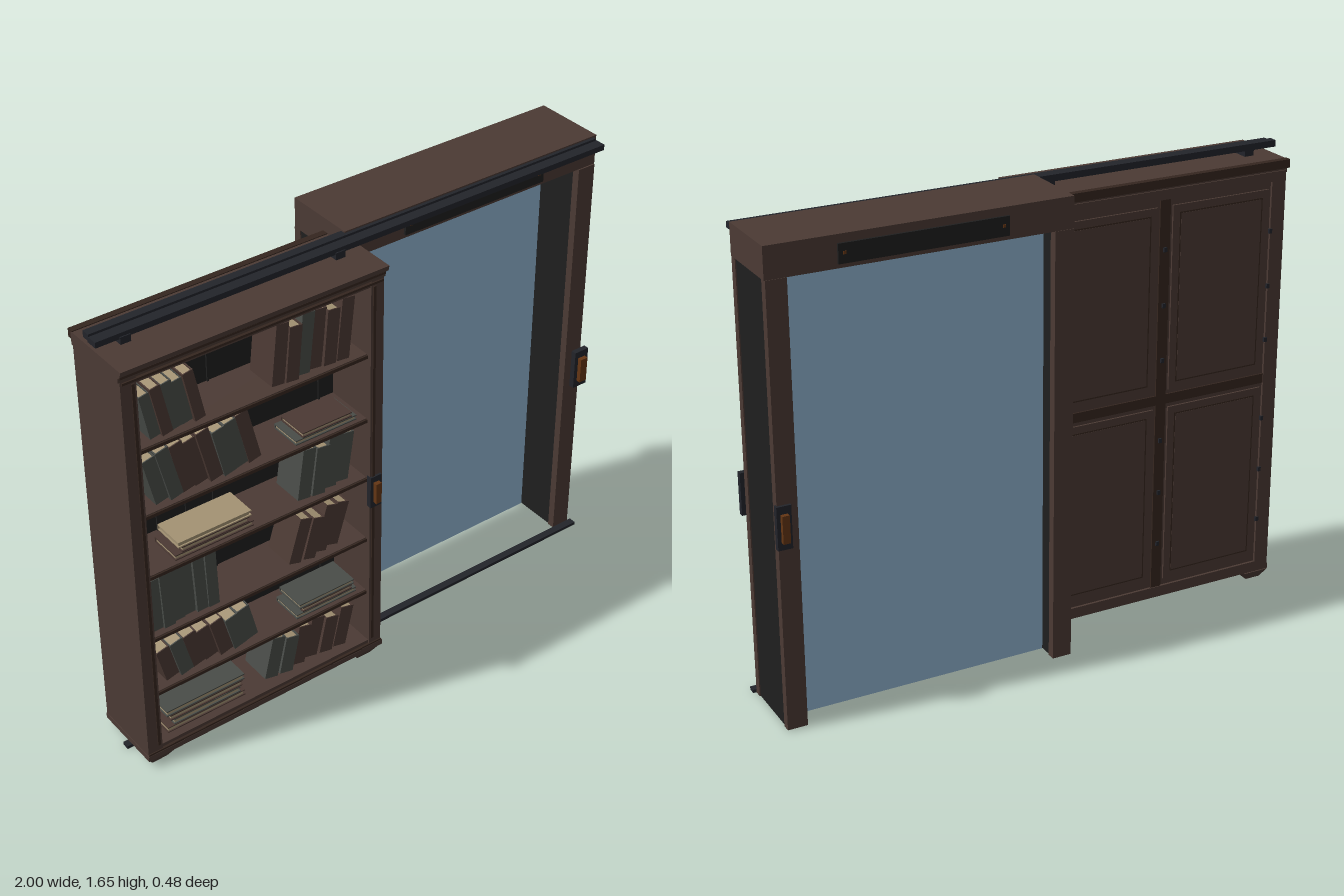
import * as THREE from 'three';

const material = (name, color) => {
  const m = new THREE.MeshStandardMaterial({ color });
  m.name = name;
  return m;
};
const wood = material('brown wood', 0x4b3a34);
const darkWood = material('dark wood trim', 0x35261f);
const black = material('black panel', 0x1f1f1f);
const metal = material('dark metal', 0x22242a);
const copper = material('copper', 0x643614);
const glass = material('blue glass', 0x90b4d0);
const grey = material('grey book cover', 0x494c48);
const brown = material('brown book cover', 0x4b3933);
const paper = material('paper', 0xa39273);
const covers = { g: grey, b: brown, p: paper };

// Box given by its limits on each axis
function box(parent, name, mat, x0, x1, y0, y1, z0, z1) {
  const mesh = new THREE.Mesh(new THREE.BoxGeometry(x1 - x0, y1 - y0, z1 - z0), mat);
  mesh.position.set((x0 + x1) / 2, (y0 + y1) / 2, (z0 + z1) / 2);
  mesh.name = name;
  parent.add(mesh);
}

function part(parent, name) {
  const g = new THREE.Group();
  g.name = name;
  parent.add(g);
  return g;
}

// Profile of [z, y] points swept along x
function sweep(parent, name, mat, points, x0, x1) {
  const shape = new THREE.Shape(points.map(p => new THREE.Vector2(...p)));
  const geo = new THREE.ExtrudeGeometry(shape, { depth: x1 - x0, bevelEnabled: false });
  geo.rotateY(-Math.PI / 2).translate(x1, 0, 0);
  const mesh = new THREE.Mesh(geo, mat);
  mesh.name = name;
  parent.add(mesh);
}

// Book standing on y = 0 with its spine towards +z
function book(parent, w, h, d, cover) {
  const g = part(parent, 'book');
  const t = 0.004;
  box(g, 'cover', cover, 0, t, 0, h, -d, 0);
  box(g, 'cover', cover, w - t, w, 0, h, -d, 0);
  box(g, 'spine', cover, t, w - t, 0, h, -t, 0);
  box(g, 'pages', paper, t, w - t, 0.004, h - 0.006, -d + 0.005, -t);
  return g;
}

// Leaning row: a letter sets each cover, positive lean tips the tops to -x
function bookRow(parent, x0, x1, y, height, leanDegrees, letters) {
  const lean = THREE.MathUtils.degToRad(leanDegrees);
  const step = (x1 - x0) / letters.length;
  [...letters].forEach((c, i) => {
    const w = step * Math.cos(lean) * 0.97;
    const h = height * (0.94 + 0.06 * Math.sin(i * 2.3 + x0 * 9));
    const b = book(parent, w, h, 0.12, covers[c]);
    const tilt = lean + 0.012 * Math.sin(i * 1.9);
    b.position.set(x0 + i * step, y + Math.max(0, -w * Math.sin(tilt)), 0.17 + 0.008 * Math.sin(i * 1.7));
    b.rotation.z = tilt;
  });
}

// Flat pile with the page edges towards the front
function bookPile(parent, x0, x1, y, thick, letters) {
  [...letters].forEach((c, i) => {
    const inset = 0.022 * ((i * 2) % 3);
    const pivot = part(parent, 'flat book');
    const b = book(pivot, thick * 0.95, x1 - x0 - inset, 0.12, covers[c]);
    b.rotation.z = Math.PI / 2;
    pivot.rotation.y = Math.PI;
    pivot.position.set(x0 + inset * 0.6, y + i * thick, 0.06);
  });
}

// Pull with a copper grip; dir is the way it faces in z
function handle(parent, name, x, z, dir, w, h) {
  const g = part(parent, name);
  box(g, 'plate', metal, -w / 2, w / 2, -h / 2, h / 2, 0, 0.02);
  box(g, 'grip', copper, -w / 4, w / 4, -h * 0.32, h * 0.32, 0.02, 0.036);
  g.position.set(x, 0.73, z);
  if (dir < 0) g.rotation.y = Math.PI;
}

function buildBookcase(root) {
  const g = part(root, 'bookcase');
  const L = -0.99, R = -0.03, back = -0.045, front = 0.215;

  // Carcass
  box(g, 'leftSide', wood, L, -0.935, 0.035, 1.56, back, front);
  box(g, 'rightSide', wood, -0.08, R, 0.035, 1.56, back, front);
  box(g, 'innerBack', black, -0.935, -0.08, 0.07, 1.53, 0.0, 0.012);
  box(g, 'top', wood, -0.935, -0.08, 1.525, 1.56, back, 0.21);
  box(g, 'base', wood, -0.935, -0.08, 0.035, 0.075, back, 0.21);
  box(g, 'plinth', wood, -0.993, -0.025, 0.035, 0.055, -0.045, 0.22);
  box(g, 'plinthBead', darkWood, L, R, 0.055, 0.062, 0.21, 0.219);
  for (const x of [-0.78, -0.67, -0.565, -0.14]) {
    box(g, 'backBatten', black, x - 0.003, x + 0.003, 0.075, 1.5, 0.012, 0.018);
    box(g, 'battenTip', paper, x - 0.002, x + 0.002, 1.5, 1.525, 0.012, 0.018);
  }

  // Shelves
  for (const y of [0.295, 0.525, 0.78, 1.02, 1.27]) {
    box(g, 'shelf', wood, -0.935, -0.08, y - 0.017, y, 0.012, 0.195);
    box(g, 'shelfEdge', darkWood, -0.935, -0.08, y - 0.015, y - 0.003, 0.195, 0.2);
  }

  // Front beading
  for (const x of [-0.948, -0.068])
    box(g, 'stileBead', darkWood, x - 0.005, x + 0.005, 0.085, 1.53, 0.21, 0.219);
  box(g, 'topBead', darkWood, -0.985, -0.035, 1.538, 1.546, 0.21, 0.22);

  // Cornice
  sweep(g, 'cornice', wood, [[-0.04, 1.55], [0.215, 1.55], [0.218, 1.568], [0.23, 1.578],
    [0.235, 1.597], [-0.04, 1.597]], -0.997, -0.025);
  box(g, 'corniceBead', darkWood, -0.993, -0.03, 1.564, 1.572, 0.2, 0.223);
  box(g, 'rearLedge', darkWood, -0.997, -0.03, 1.57, 1.6, -0.055, -0.032);

  // Panelled back
  box(g, 'backBoard', wood, -0.935, -0.08, 0.075, 1.525, -0.036, 0);
  box(g, 'backMidStile', darkWood, -0.53, -0.49, 0.075, 1.525, -0.042, -0.036);
  box(g, 'backMidRail', darkWood, -0.935, -0.08, 0.785, 0.82, -0.042, -0.036);
  for (const [x0, x1] of [[-0.925, -0.54], [-0.48, -0.09]])
    for (const [y0, y1] of [[0.1, 0.77], [0.835, 1.5]]) {
      box(g, 'backPanel', wood, x0, x1, y0, y1, -0.043, -0.036);
      box(g, 'panelGroove', darkWood, x0 + 0.026, x1 - 0.026, y0 + 0.026, y1 - 0.026, -0.0438, -0.043);
      box(g, 'panelField', wood, x0 + 0.031, x1 - 0.031, y0 + 0.031, y1 - 0.031, -0.0446, -0.043);
    }
  for (const x of [-0.935, -0.51, -0.083])
    for (const y of [0.25, 0.45, 0.65, 0.95, 1.15, 1.35])
      box(g, 'backStud', metal, x - 0.006, x + 0.006, y - 0.008, y + 0.008, -0.049, -0.04);

  // Tapered feet
  for (const x of [-0.94, -0.09])
    for (const z of [0.0, 0.17]) {
      const foot = new THREE.Mesh(new THREE.CylinderGeometry(0.07, 0.04, 0.035, 4, 1).rotateY(Math.PI / 4), wood);
      foot.name = 'foot';
      foot.position.set(x, 0.0175, z);
      g.add(foot);
    }

  // Books, from the top shelf down
  const b = part(g, 'books');
  bookRow(b, -0.875, -0.675, 1.27, 0.19, 11, 'gbggb');
  bookRow(b, -0.43, -0.135, 1.27, 0.225, -6, 'bbgbbb');
  bookRow(b, -0.87, -0.47, 1.02, 0.205, 13, 'ggbbbggb');
  bookPile(b, -0.35, -0.11, 1.02, 0.019, 'gb');
  bookPile(b, -0.82, -0.52, 0.78, 0.022, 'bbp');
  bookRow(b, -0.34, -0.13, 0.78, 0.205, -8, 'gggg');
  bookRow(b, -0.915, -0.66, 0.525, 0.235, 2, 'gggggg');
  bookRow(b, -0.38, -0.17, 0.525, 0.18, -17, 'bbbb');
  bookRow(b, -0.875, -0.505, 0.295, 0.155, 14, 'bgbbbgg');
  bookPile(b, -0.36, -0.11, 0.295, 0.019, 'gbg');
  bookPile(b, -0.89, -0.58, 0.075, 0.024, 'bgbg');
  bookRow(b, -0.49, -0.15, 0.075, 0.165, -13, 'ggbbbb');

  handle(g, 'bookcaseHandle', -0.06, 0.203, 1, 0.045, 0.125);
}

function buildFrame(root) {
  const g = part(root, 'doorFrame');

  // Posts with dark cores and wooden edges
  for (const x of [-0.065, 0.915]) {
    box(g, 'postCore', black, x + 0.004, x + 0.066, 0.003, 1.54, -0.18, 0.035);
    box(g, 'postFrontTrim', wood, x, x + 0.07, 0.003, 1.54, 0.035, 0.063);
    box(g, 'postBackTrim', wood, x, x + 0.07, 0.003, 1.54, -0.21, -0.18);
  }

  // Header and plates
  box(g, 'header', wood, -0.065, 0.988, 1.54, 1.648, -0.208, 0.058);
  box(g, 'frontPlate', black, 0.17, 0.75, 1.555, 1.615, 0.058, 0.068);
  box(g, 'backPlate', black, 0.17, 0.75, 1.555, 1.62, -0.216, -0.208);
  for (const x of [0.19, 0.73])
    for (const z of [-0.2165, 0.0685])
      box(g, 'plateScrew', copper, x - 0.005, x + 0.005, 1.585, 1.595, z - 0.002, z + 0.002);

  box(g, 'glassPane', glass, 0.004, 0.916, 0.005, 1.54, -0.132, -0.122);

  handle(g, 'frontHandle', 0.966, 0.072, 1, 0.06, 0.15);
  handle(g, 'backHandle', 0.965, -0.2, -1, 0.05, 0.15);
}

function buildTracks(root) {
  const g = part(root, 'slidingTracks');
  box(g, 'topRail', metal, -1, 0.98, 1.615, 1.635, 0.065, 0.108);
  box(g, 'topRailBack', metal, -1, 0.975, 1.62, 1.643, 0.04, 0.07);
  for (const x of [-0.9, -0.12])
    box(g, 'railHanger', metal, x - 0.018, x + 0.018, 1.59, 1.622, 0.05, 0.112);
  box(g, 'floorTrack', metal, -1, 0.995, 0, 0.012, 0.068, 0.095);
}

export function createModel() {
  const root = new THREE.Group();
  root.name = 'slidingBookcaseDoor';
  buildBookcase(root);
  buildFrame(root);
  buildTracks(root);
  return root;
}
